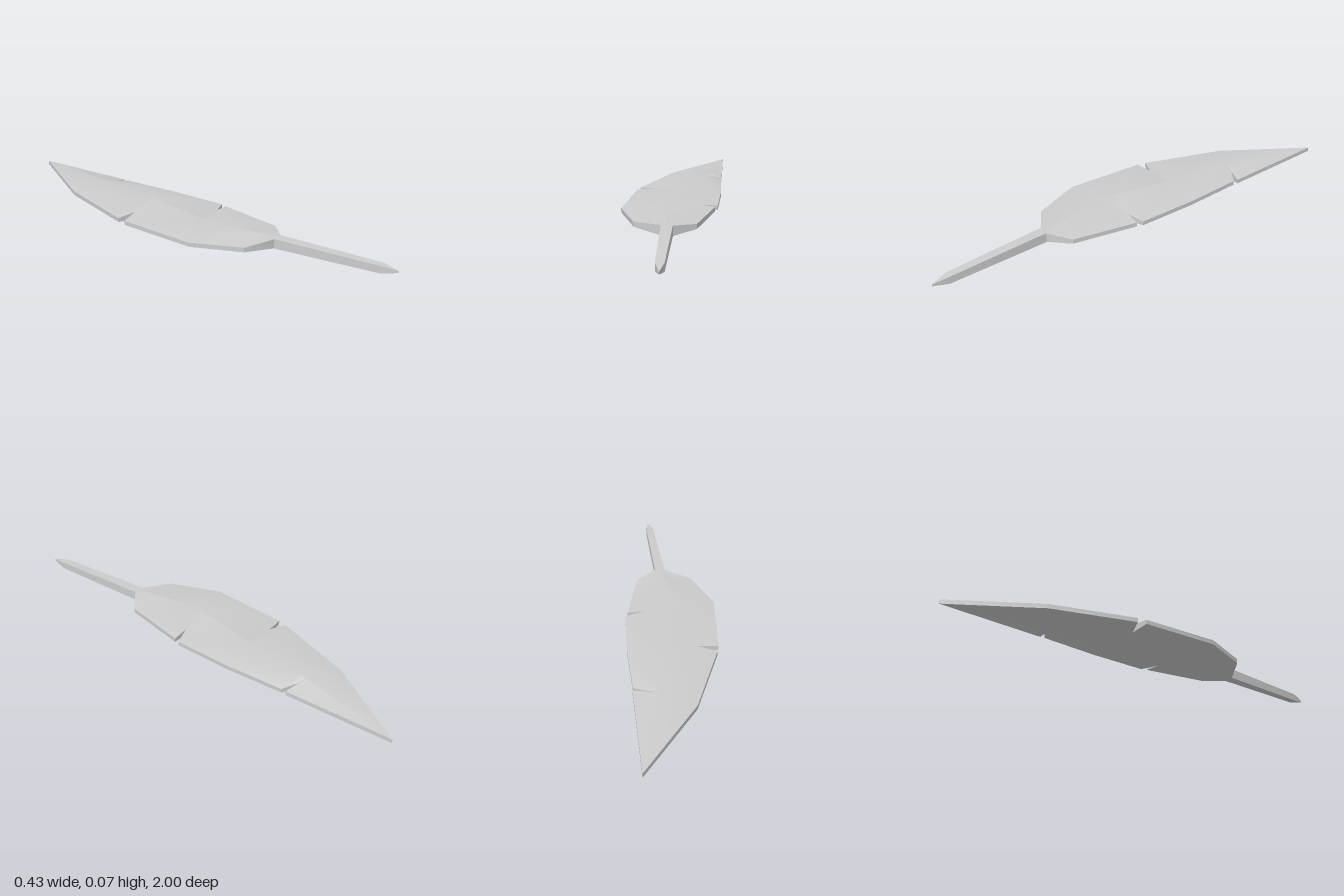
import * as THREE from 'three';
import { toCreasedNormals } from 'three/addons/utils/BufferGeometryUtils.js';

const MID = 0.0345; // height of the feather's middle plane

// Central rib of the vane: [z, x, half thickness]
const RIB = [[-1, 0.08, 0.01], [-0.5, 0.04, 0.0335], [0.15, -0.012, 0.0335], [0.465, 0.065, 0.023]];
// Central line of the quill
const CORE = [[0.46, 0.065, 0.023], [0.93, 0.138, 0.017], [1, 0.15, 0.005]];

// Rim points: [x, z, half thickness, z of the matching rib point]
const LEFT_RIM = [
  [0.08, -1, 0.01, -1], [-0.122, -0.6, 0.01, -0.5], [-0.21, -0.22, 0.01, -0.22],
  [-0.125, -0.195, 0.018, -0.2], // notch
  [-0.215, -0.18, 0.01, -0.18], [-0.2, 0.185, 0.01, 0.15], [-0.09, 0.4, 0.011, 0.4], [0.04, 0.465, 0.022, 0.465],
];
const RIGHT_RIM = [
  [0.08, -1, 0.01, -1], [0.145, -0.512, 0.01, -0.54],
  [0.08, -0.523, 0.02, -0.525], // notch
  [0.145, -0.49, 0.01, -0.5], [0.187, -0.22, 0.01, -0.22], [0.212, 0.052, 0.01, 0.05],
  [0.115, 0.09, 0.018, 0.09], // notch
  [0.205, 0.08, 0.01, 0.15], [0.175, 0.38, 0.011, 0.36], [0.09, 0.465, 0.022, 0.465],
];
const QUILL_LEFT = [[0.04, 0.46, 0.023, 0.46], [0.12, 0.93, 0.017, 0.93], [0.15, 1, 0.005, 1]];
const QUILL_RIGHT = [[0.09, 0.46, 0.023, 0.46], [0.156, 0.93, 0.017, 0.93], [0.15, 1, 0.005, 1]];

// Point on a central line at a given z, as [x, z, half thickness]
function lineAt(line, z) {
  let i = 0;
  while (i < line.length - 2 && z > line[i + 1][0]) i++;
  const [a, b] = [line[i], line[i + 1]];
  const t = (z - a[0]) / (b[0] - a[0]);
  return [a[1] + (b[1] - a[1]) * t, z, a[2] + (b[2] - a[2]) * t];
}

// Thin solid: strips from the central line out to each rim, above and below, plus rim walls
function leafGeometry(line, leftRim, rightRim) {
  const positions = [];
  const point = (p, up) => new THREE.Vector3(p[0], MID + up * p[2], p[1]);
  const triangle = (a, b, c) => {
    const area = b.clone().sub(a).cross(c.clone().sub(a)).length();
    if (area > 1e-8) for (const v of [a, b, c]) positions.push(v.x, v.y, v.z);
  };
  const quad = (a, b, c, d, flip) => {
    if (flip) [a, b, c, d] = [d, c, b, a];
    triangle(a, b, c);
    triangle(a, c, d);
  };
  for (const [rim, mirrored] of [[leftRim, false], [rightRim, true]]) {
    for (let i = 0; i < rim.length - 1; i++) {
      const [a, b] = [rim[i], rim[i + 1]];
      const [sa, sb] = [lineAt(line, a[3]), lineAt(line, b[3])];
      for (const up of [1, -1]) {
        quad(point(a, up), point(b, up), point(sb, up), point(sa, up), mirrored !== (up < 0));
      }
      quad(point(a, 1), point(a, -1), point(b, -1), point(b, 1), mirrored);
    }
  }
  // end wall where the two rims finish apart
  const l = leftRim[leftRim.length - 1], r = rightRim[rightRim.length - 1];
  quad(point(l, 1), point(l, -1), point(r, -1), point(r, 1), false);

  const geometry = new THREE.BufferGeometry();
  geometry.setAttribute('position', new THREE.Float32BufferAttribute(positions, 3));
  return toCreasedNormals(geometry, 0.5);
}

export function createModel() {
  const featherGrey = new THREE.MeshStandardMaterial({ color: 0xcccccc });
  featherGrey.name = 'feather grey';

  const feather = new THREE.Group();
  feather.name = 'feather';
  const add = (name, ...parts) => {
    const mesh = new THREE.Mesh(leafGeometry(...parts), featherGrey);
    mesh.name = name;
    feather.add(mesh);
  };
  add('vane', RIB, LEFT_RIM, RIGHT_RIM);
  add('quill', CORE, QUILL_LEFT, QUILL_RIGHT);
  return feather;
}
